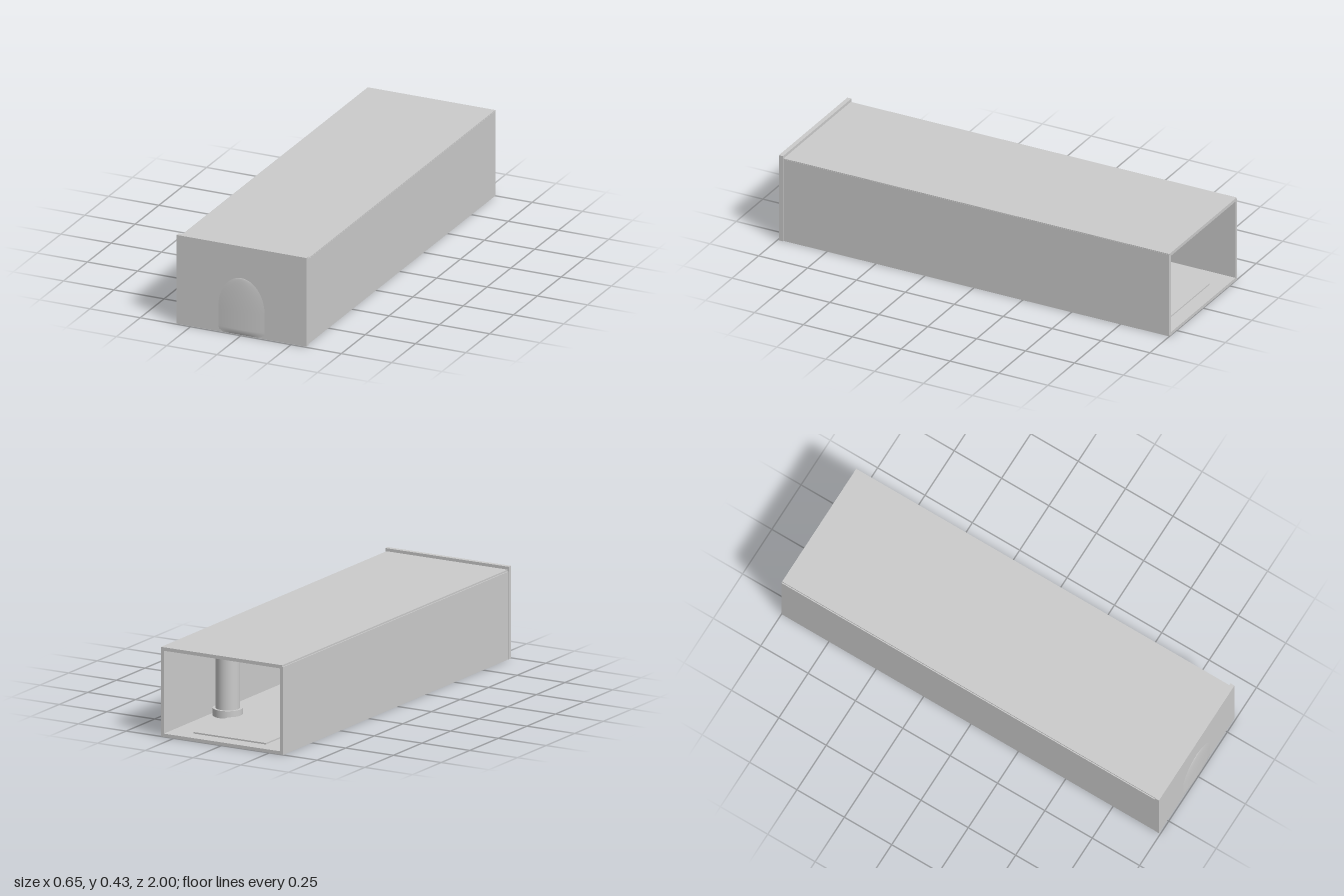
import * as THREE from 'three';

const material = new THREE.MeshStandardMaterial({ color: 0xcccccc });

function add(group, name, geometry, x = 0, y = 0, z = 0) {
  const mesh = new THREE.Mesh(geometry, material);
  mesh.name = name;
  mesh.position.set(x, y, z);
  group.add(mesh);
  return mesh;
}

// Box given by its minimum and maximum on each axis
function slab(group, name, [x0, x1], [y0, y1], [z0, z1]) {
  return add(group, name, new THREE.BoxGeometry(x1 - x0, y1 - y0, z1 - z0),
    (x0 + x1) / 2, (y0 + y1) / 2, (z0 + z1) / 2);
}

// Shallow arched swelling: a grid bent into a tongue with a lens cross-section
function bulgeGeometry(halfWidth, shoulder, height, depth) {
  const geometry = new THREE.PlaneGeometry(2, 1, 24, 32);
  const p = geometry.attributes.position;
  for (let i = 0; i < p.count; i++) {
    const s = p.getX(i);
    const t = p.getY(i) + 0.5;
    const y = height * Math.sin(t * Math.PI / 2);
    const rise = Math.max(0, (y - shoulder) / (height - shoulder));
    const arch = Math.sqrt(Math.max(0, 1 - rise * rise));
    const foot = Math.sqrt(Math.min(1, 0.6 + y / 0.04));
    p.setXYZ(i, s * halfWidth * arch * foot, y,
      t === 0 ? 0 : depth * (1 - s * s) * arch);
  }
  geometry.computeVertexNormals();
  return geometry;
}

// Round column with a collar at each end
function column(x, z, bottom, top) {
  const group = new THREE.Group();
  group.name = 'column';
  const collar = 0.035;
  add(group, 'columnShaft',
    new THREE.CylinderGeometry(0.055, 0.055, top - bottom, 32), x, (bottom + top) / 2, z);
  for (const y of [bottom + collar / 2, top - collar / 2]) {
    add(group, 'columnCollar', new THREE.CylinderGeometry(0.068, 0.068, collar, 32), x, y, z);
  }
  return group;
}

export function createModel() {
  const model = new THREE.Group();
  model.name = 'openSleeve';
  const length = [-1, 0.975];

  // Sleeve, open at the back
  slab(model, 'floor', [-0.322, 0.317], [0, 0.015], length);
  slab(model, 'leftWall', [0.302, 0.318], [0.008, 0.412], length);
  slab(model, 'rightWall', [-0.322, -0.306], [0, 0.408], length);
  slab(model, 'roof', [-0.317, 0.317], [0.4, 0.416], length);

  // Front panel, standing a little proud of the roof
  slab(model, 'frontPanel', [-0.323, 0.323], [0, 0.43], [0.972, 0.993]);
  add(model, 'frontBulge', bulgeGeometry(0.115, 0.12, 0.275, 0.007), 0, 0.001, 0.993);

  // Inside fittings near the open end
  slab(model, 'floorPlate', [-0.19, 0.19], [0.015, 0.022], [-0.93, -0.38]);
  for (const side of [-1, 1]) model.add(column(side * 0.225, -0.57, 0.015, 0.4));

  return model;
}
